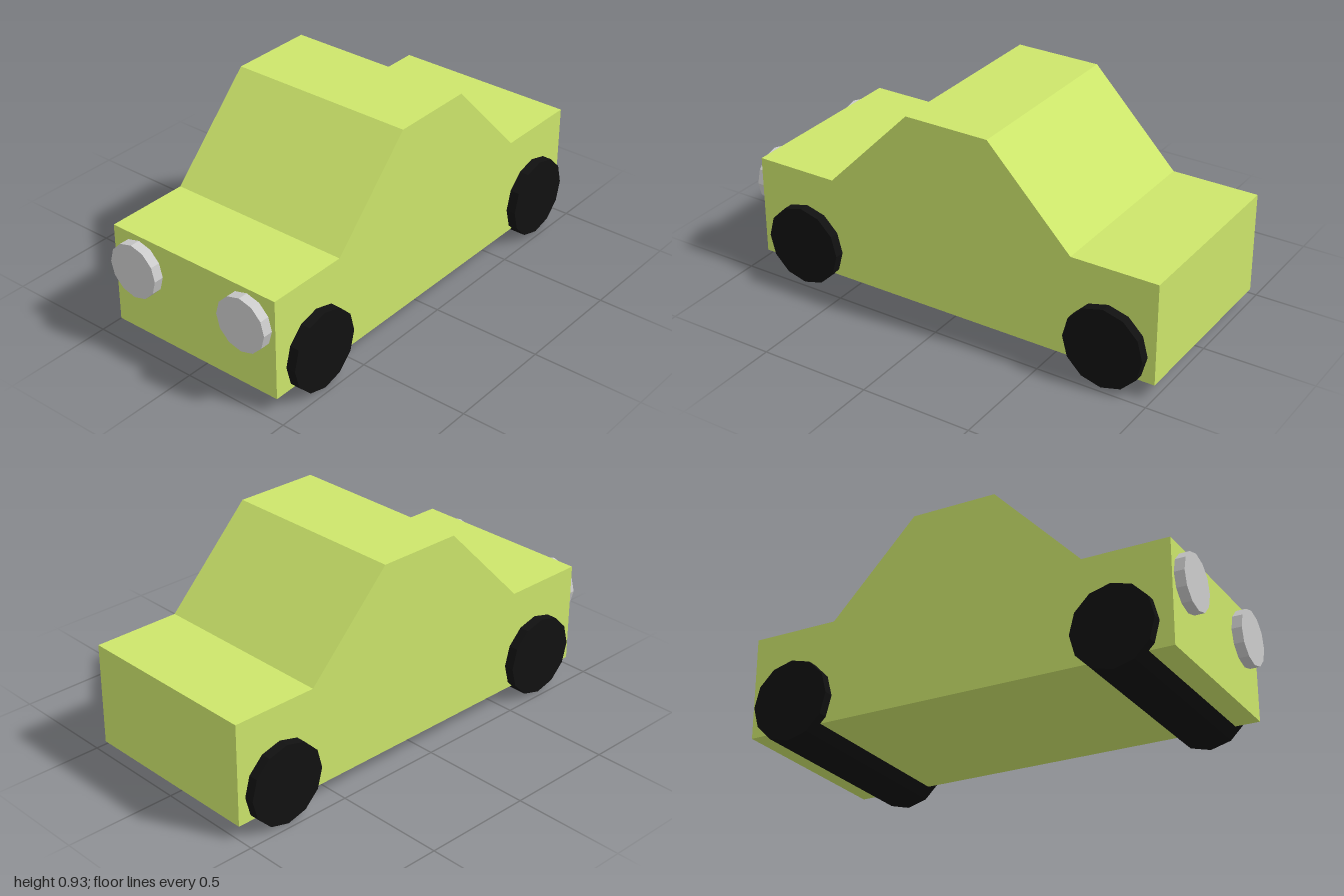
import * as THREE from 'three';

export function createModel() {
  const car = new THREE.Group();
  car.name = 'car';
  const paint = new THREE.MeshStandardMaterial({ color: 0xcce56b, flatShading: true });
  const rubber = new THREE.MeshStandardMaterial({ color: 0x111111, flatShading: true });
  const grey = new THREE.MeshStandardMaterial({ color: 0xcccccc, flatShading: true });

  const add = (name, geometry, material, x, y, z) => {
    const mesh = new THREE.Mesh(geometry, material);
    mesh.name = name;
    mesh.position.set(x, y, z);
    car.add(mesh);
  };

  // Body: side profile as (z, y) points, extruded across the width
  const profile = [
    [0.955, 0.065], [0.955, 0.525], [0.57, 0.525], [0.175, 0.93],
    [-0.215, 0.93], [-0.605, 0.525], [-1, 0.525], [-1, 0.065],
  ];
  const halfWidth = 0.431;
  const shape = new THREE.Shape(profile.map(([z, y]) => new THREE.Vector2(-z, y)));
  const body = new THREE.ExtrudeGeometry(shape, { depth: 2 * halfWidth, bevelEnabled: false });
  body.translate(0, 0, -halfWidth).rotateY(Math.PI / 2);
  add('body', body, paint, 0, 0, 0);

  // Wheel pairs: one twelve-sided roller per axle, running the full width
  const roller = new THREE.CylinderGeometry(0.182, 0.182, 0.95, 12).rotateZ(Math.PI / 2);
  add('frontWheels', roller, rubber, 0, 0.182, 0.714);
  add('rearWheels', roller, rubber, 0, 0.182, -0.782);

  // Headlights: short twelve-sided discs on the nose
  const lamp = new THREE.CylinderGeometry(0.124, 0.124, 0.05, 12).rotateX(Math.PI / 2);
  add('leftHeadlight', lamp, grey, 0.29, 0.38, 0.975);
  add('rightHeadlight', lamp, grey, -0.29, 0.38, 0.975);

  return car;
}
